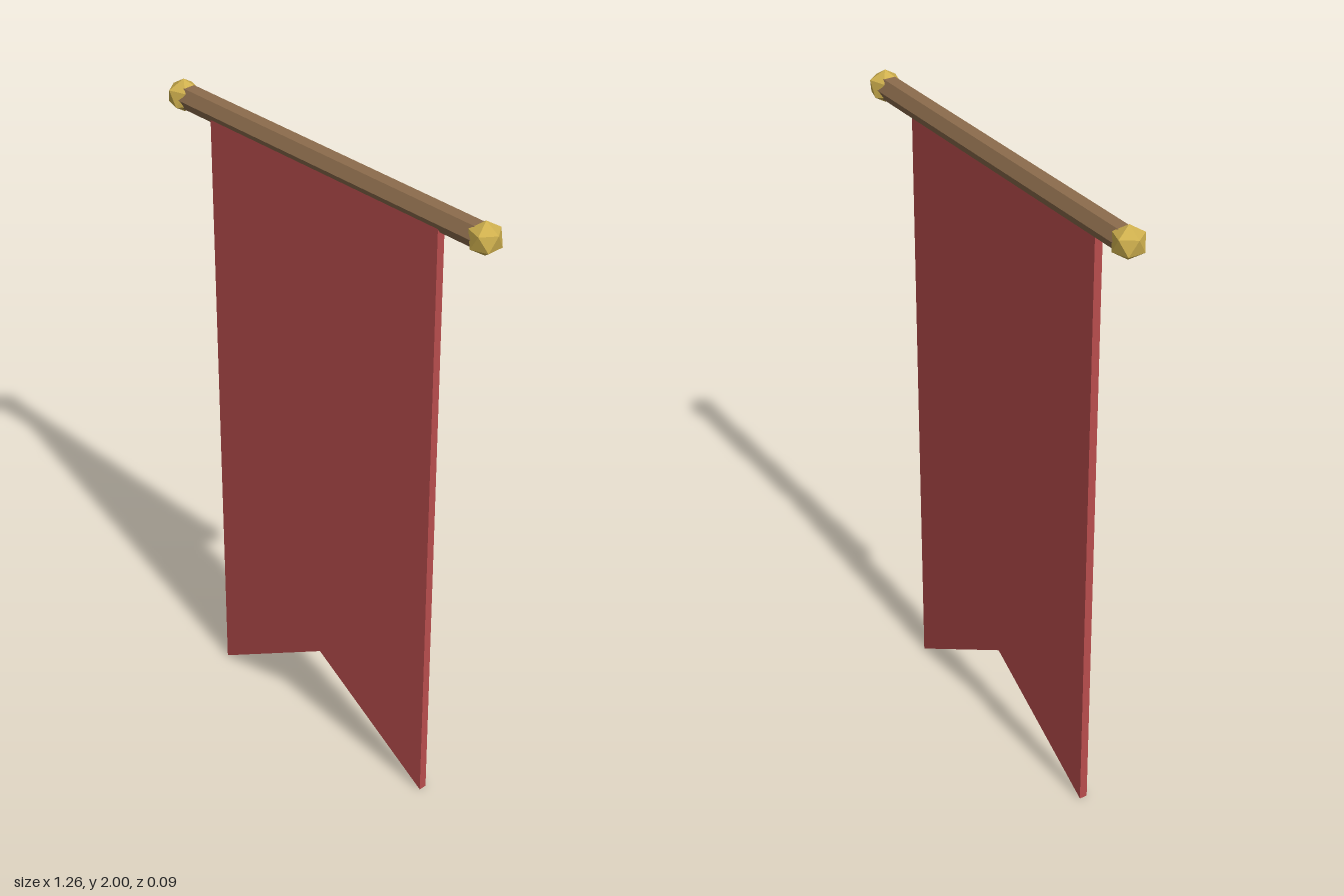
import * as THREE from 'three';

const material = (name, color) => {
  const m = new THREE.MeshStandardMaterial({ color, flatShading: true });
  m.name = name;
  return m;
};

export function createModel() {
  const cloth = material('red cloth', 0xb84d4d);
  const wood = material('brown wood', 0x8c6c4c);
  const gold = material('gold', 0xcfb04e);

  const group = new THREE.Group();
  group.name = 'hangingBanner';
  const add = (name, geometry, mat) => {
    const mesh = new THREE.Mesh(geometry, mat);
    mesh.name = name;
    group.add(mesh);
    return mesh;
  };

  const poleY = 1.95;

  // Swallow-tailed cloth, hanging just in front of the pole's axis
  const outline = new THREE.Shape([
    [-0.443, 0], [0, 0.28], [0.443, 0], [0.443, poleY - 0.01], [-0.443, poleY - 0.01],
  ].map(([x, y]) => new THREE.Vector2(x, y)));
  add('cloth', new THREE.ExtrudeGeometry(outline, { depth: 0.025, bevelEnabled: false }), cloth);

  // Six-sided pole with flat faces on top and bottom
  const pole = new THREE.CylinderGeometry(0.037, 0.037, 1.17, 6);
  pole.rotateZ(Math.PI / 2);
  add('pole', pole, wood).position.y = poleY;

  // Faceted knobs, each with one corner pointing straight up
  const tilt = Math.atan(2 / (1 + Math.sqrt(5)));
  for (const side of [-1, 1]) {
    const knob = new THREE.IcosahedronGeometry(0.05, 0);
    knob.rotateZ(-side * tilt);
    add(side > 0 ? 'leftKnob' : 'rightKnob', knob, gold).position.set(side * 0.585, poleY, 0);
  }

  return group;
}
